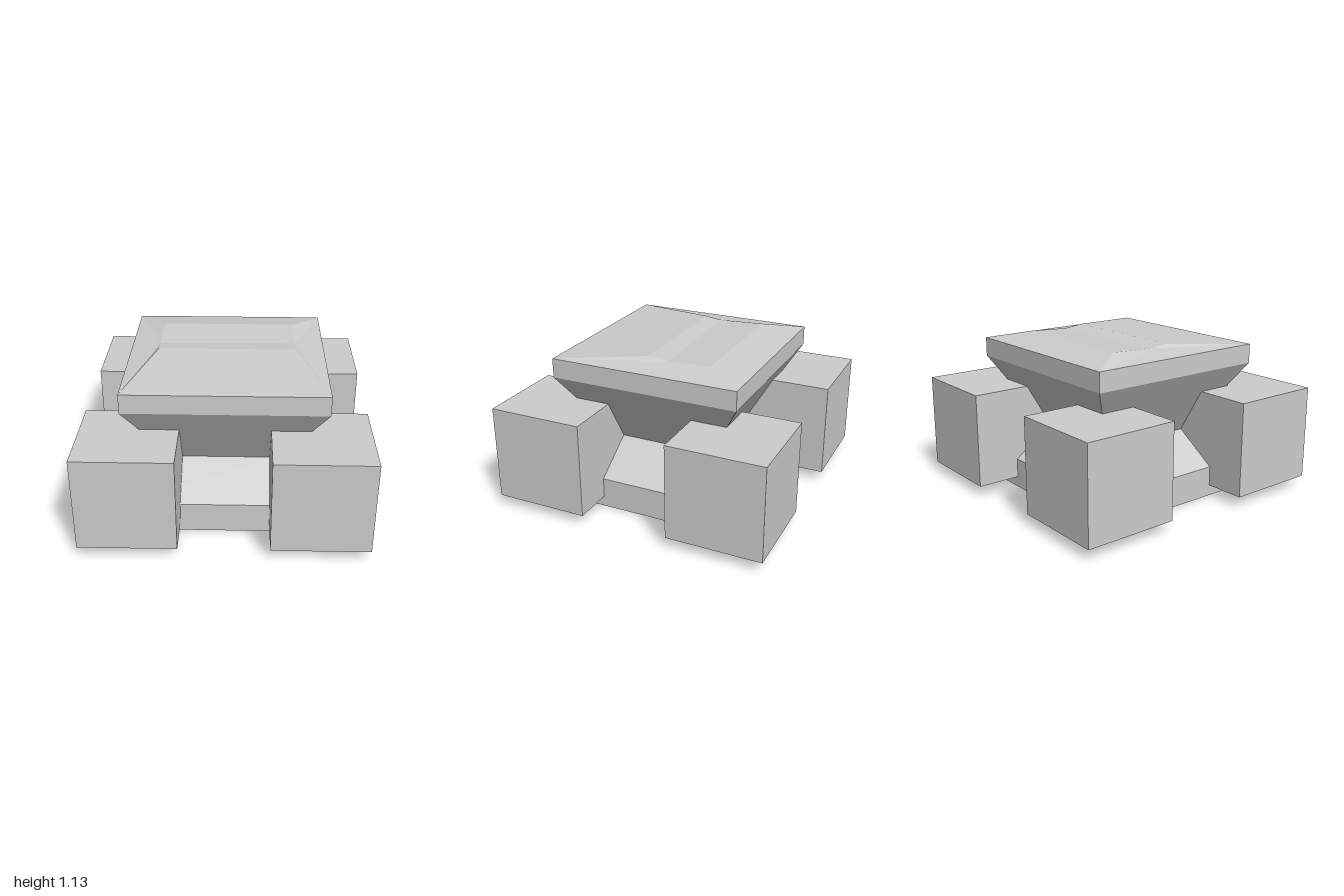
import * as THREE from 'three';

// Fan-triangulates convex faces (corners counterclockwise from outside) into a flat-shaded geometry
function facesToGeometry(faces) {
  const pos = [];
  for (const f of faces) {
    for (let i = 1; i < f.length - 1; i++) pos.push(...f[0], ...f[i], ...f[i + 1]);
  }
  const g = new THREE.BufferGeometry();
  g.setAttribute('position', new THREE.Float32BufferAttribute(pos, 3));
  g.computeVertexNormals();
  return g;
}

// Rectangular cross-section at height y, counterclockwise seen from above
const ring = (x, z, y) => [[x, y, z], [x, y, -z], [-x, y, -z], [-x, y, z]];

export function createModel() {
  const group = new THREE.Group();
  const gray = new THREE.MeshStandardMaterial({ color: 0xcccccc, flatShading: true });
  gray.name = 'light gray';

  const add = (name, geometry) => {
    const mesh = new THREE.Mesh(geometry, gray);
    mesh.name = name;
    group.add(mesh);
    return mesh;
  };

  // Pinched body: base slab, narrow waist, flared rim
  const X = 0.698, Z = 0.682, rimY = 1.077;
  const rings = [
    ring(X, Z, 0), ring(X, Z, 0.22), ring(0.385, 0.38, 0.43),
    ring(X, Z, 0.938), ring(X, Z, rimY),
  ];
  const body = [[...rings[0]].reverse()];
  for (let r = 0; r < rings.length - 1; r++) {
    for (let i = 0; i < 4; i++) {
      const j = (i + 1) % 4;
      body.push([rings[r][i], rings[r][j], rings[r + 1][j], rings[r + 1][i]]);
    }
  }
  add('body', facesToGeometry(body));

  // Shallow lid: front ridge, valley, back ridge, with sloping ends
  const end = (s) => [
    [s * X, rimY, Z], [s * 0.488, 1.126, 0.048], [s * 0.488, 1.11, s > 0 ? -0.1 : -0.082],
    [s * 0.488, 1.126, -0.412], [s * X, rimY, -Z],
  ];
  const L = end(-1), R = end(1);
  const lid = [];
  for (let i = 0; i < 4; i++) lid.push([L[i], R[i], R[i + 1], L[i + 1]]);
  for (const [a, b, c] of [[1, 0, 2], [2, 0, 4], [2, 4, 3]]) {
    lid.push([R[a], R[b], R[c]], [L[c], L[b], L[a]]);
  }
  add('lid', facesToGeometry(lid));

  // Four corner blocks
  const block = new THREE.BoxGeometry(0.682, 0.682, 0.683);
  for (const sx of [-1, 1]) {
    for (const sz of [-1, 1]) {
      const name = (sz > 0 ? 'front' : 'back') + (sx > 0 ? 'Left' : 'Right') + 'Block';
      add(name, block).position.set(sx * 0.654, 0.419, sz * 0.6585);
    }
  }
  return group;
}
